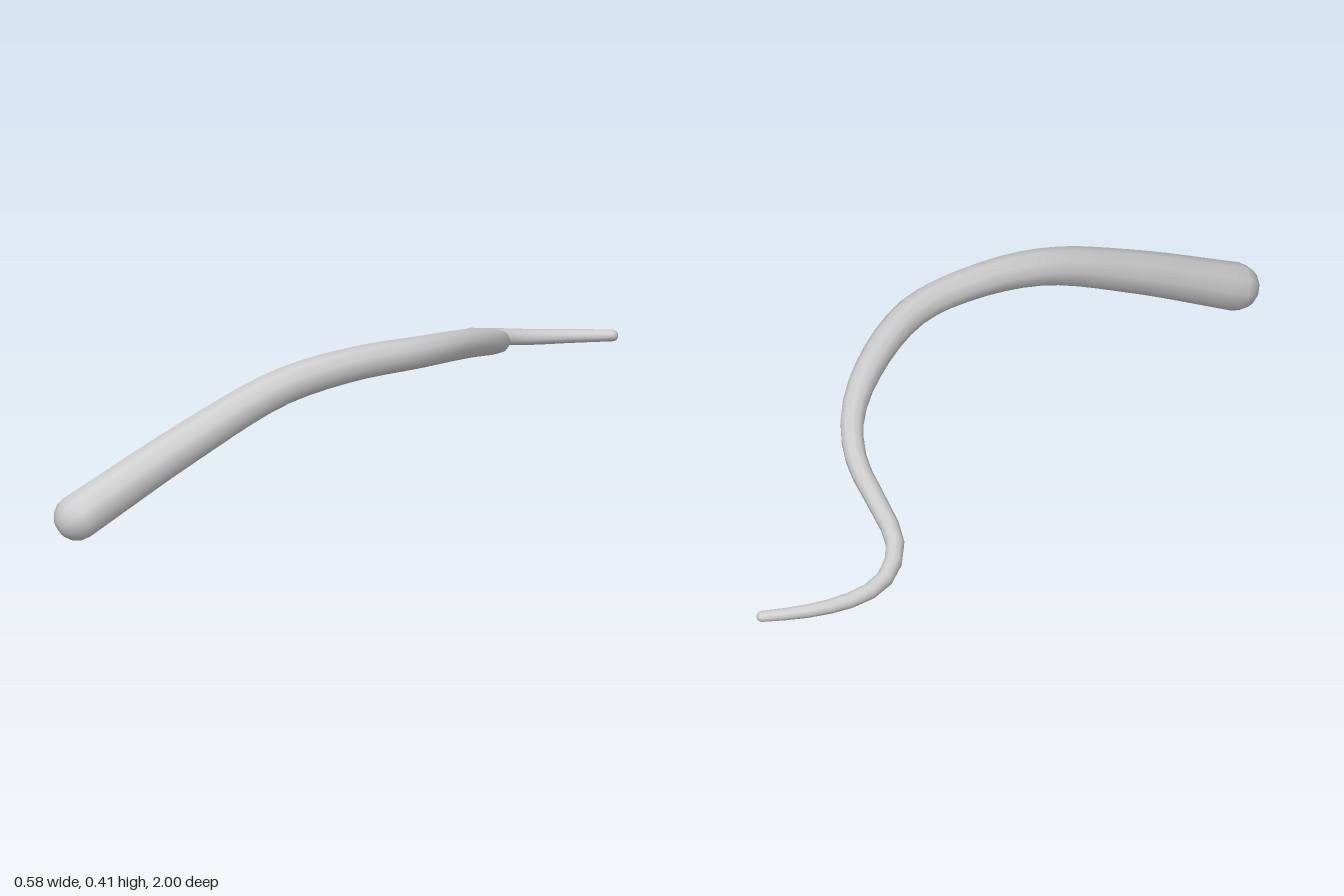
import * as THREE from 'three';
import { mergeVertices } from 'three/addons/utils/BufferGeometryUtils.js';

// Centre line and radius from the thick root to the thin tip: x, y, z, radius
const SPINE = [
  [0, 0.064, 0.94, 0.063],
  [0.09, 0.222, 0.65, 0.056],
  [0.163, 0.335, 0.4, 0.049],
  [0.217, 0.369, 0.2, 0.045],
  [0.25, 0.367, 0, 0.042],
  [0.21, 0.337, -0.2, 0.038],
  [0.135, 0.288, -0.36, 0.032],
  [0.03, 0.243, -0.46, 0.028],
  [-0.11, 0.2, -0.525, 0.026],
  [-0.21, 0.167, -0.575, 0.025],
  [-0.262, 0.138, -0.65, 0.023],
  [-0.27, 0.122, -0.72, 0.022],
  [-0.245, 0.11, -0.8, 0.021],
  [-0.19, 0.105, -0.9, 0.018],
  [-0.125, 0.104, -0.985, 0.015],
];
const SIDES = 10, STEPS = 40, CAP_STEPS = 4;

// Tapered tube with a domed cap at each end
function taperedTube() {
  const curve = new THREE.CatmullRomCurve3(SPINE.map(([x, y, z]) => new THREE.Vector3(x, y, z)));
  const frames = curve.computeFrenetFrames(STEPS, false);

  const radiusAt = (t) => {
    const f = t * (SPINE.length - 1);
    const i = Math.min(Math.floor(f), SPINE.length - 2);
    return THREE.MathUtils.lerp(SPINE[i][3], SPINE[i + 1][3], f - i);
  };

  // Each ring: frame index, shift along the tangent and scale, in radii
  const rings = [];
  for (let k = 0; k < CAP_STEPS; k++) {
    const a = (k / CAP_STEPS) * Math.PI / 2;
    rings.push([0, -Math.cos(a), Math.sin(a)]);
  }
  for (let i = 0; i <= STEPS; i++) rings.push([i, 0, 1]);
  for (let k = 1; k <= CAP_STEPS; k++) {
    const a = (k / CAP_STEPS) * Math.PI / 2;
    rings.push([STEPS, Math.sin(a), k === CAP_STEPS ? 0 : Math.cos(a)]);
  }

  const positions = [], indices = [];
  rings.forEach(([i, shift, scale], row) => {
    const t = curve.getUtoTmapping(i / STEPS);
    const r = radiusAt(t);
    const centre = curve.getPoint(t).addScaledVector(frames.tangents[i], shift * r);
    for (let j = 0; j < SIDES; j++) {
      const a = (j / SIDES) * Math.PI * 2;
      const p = centre.clone()
        .addScaledVector(frames.normals[i], Math.cos(a) * r * scale)
        .addScaledVector(frames.binormals[i], Math.sin(a) * r * scale);
      positions.push(p.x, p.y, p.z);
      if (row === rings.length - 1) continue;
      const p0 = row * SIDES + j, p1 = row * SIDES + (j + 1) % SIDES;
      indices.push(p0, p1, p0 + SIDES, p1, p1 + SIDES, p0 + SIDES);
    }
  });

  const geometry = new THREE.BufferGeometry();
  geometry.setAttribute('position', new THREE.Float32BufferAttribute(positions, 3));
  geometry.setIndex(indices);
  const merged = mergeVertices(geometry);
  merged.computeVertexNormals();
  return merged;
}

export function createModel() {
  const group = new THREE.Group();
  group.name = 'curvedTail';
  const tail = new THREE.Mesh(taperedTube(), new THREE.MeshStandardMaterial({ color: 0xcccccc }));
  tail.name = 'tail';
  group.add(tail);
  return group;
}
